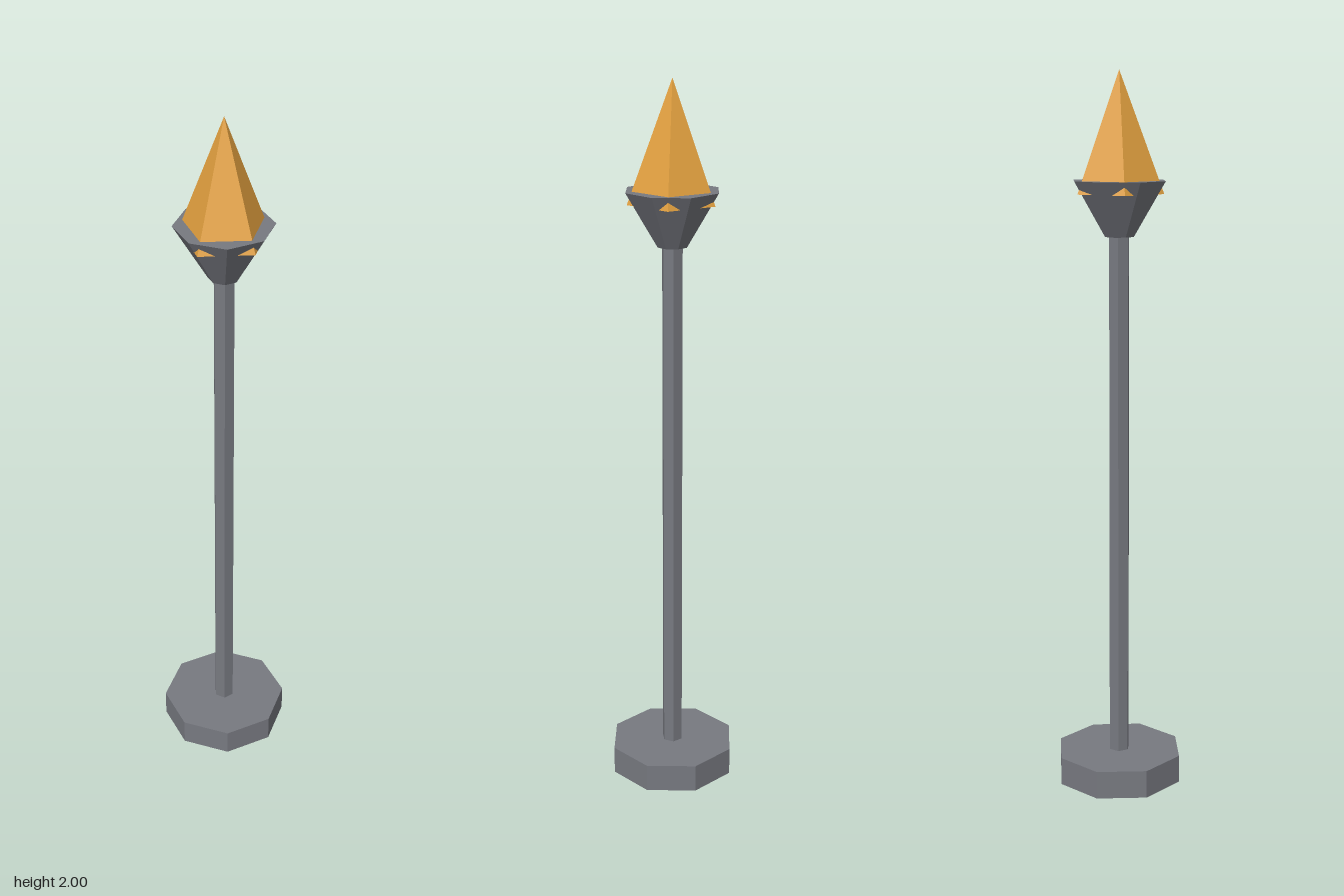
import * as THREE from 'three';

export function createModel() {
  const model = new THREE.Group();
  const iron = new THREE.MeshStandardMaterial({ color: 0x777980 });
  iron.name = 'grey iron';
  const amber = new THREE.MeshStandardMaterial({ color: 0xe2a03f });
  amber.name = 'amber flame';
  iron.flatShading = amber.flatShading = true;

  // Closed faceted frustum standing between two heights
  function frustum(name, material, rTop, rBottom, y0, y1, sides, turn = 0) {
    const geometry = new THREE.CylinderGeometry(rTop, rBottom, y1 - y0, sides, 1, false, turn);
    const mesh = new THREE.Mesh(geometry, material);
    mesh.name = name;
    mesh.position.y = (y0 + y1) / 2;
    model.add(mesh);
  }

  frustum('base', iron, 0.183, 0.183, 0, 0.08, 8);
  frustum('pole', iron, 0.03, 0.03, 0.08, 1.56, 6);
  frustum('bowl', iron, 0.132, 0.042, 1.56, 1.71, 8);
  // Five-sided flame; its lower corners poke out through the bowl
  frustum('flame', amber, 0, 0.123, 1.675, 2, 5, Math.PI);

  return model;
}
